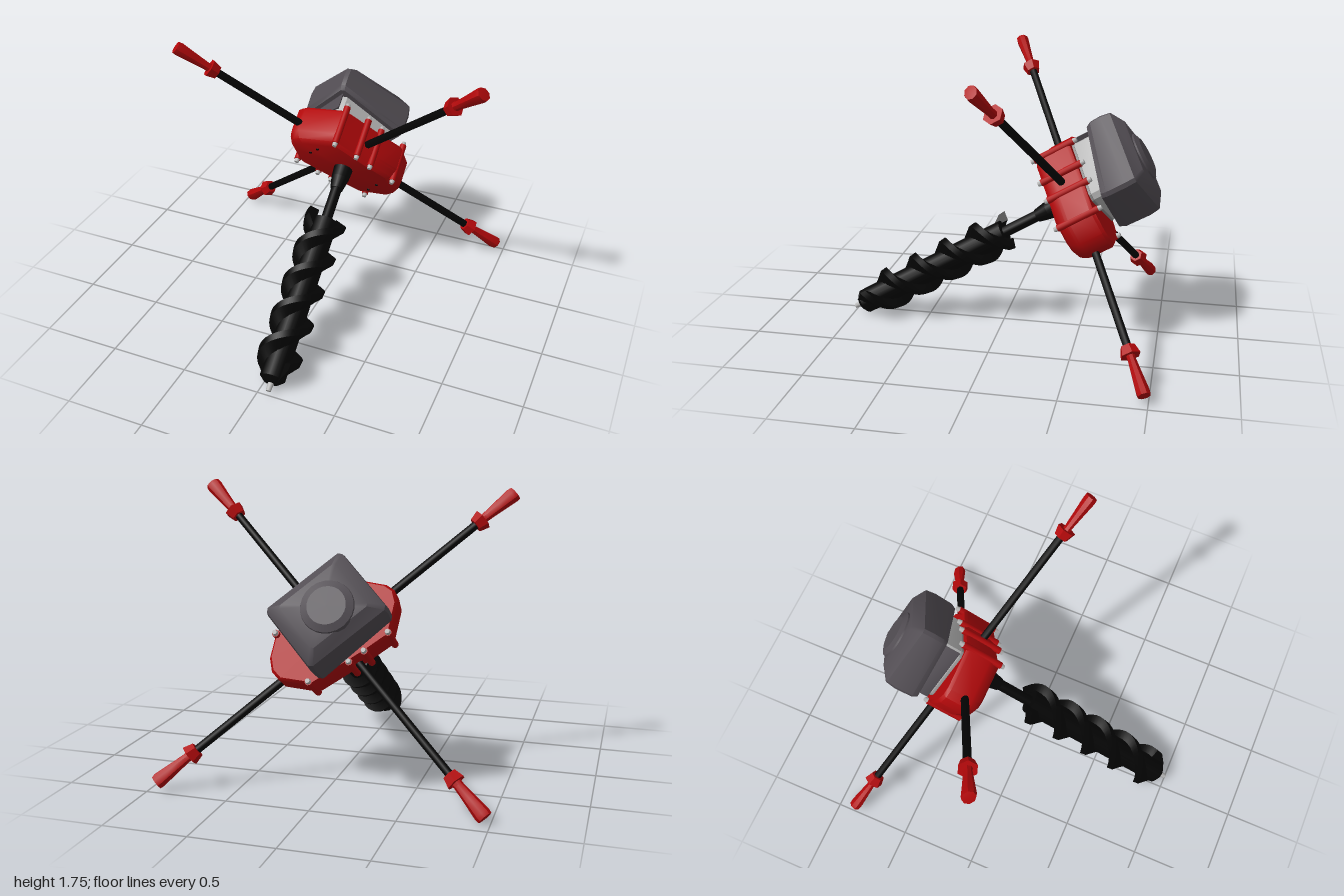
import * as THREE from 'three';
import { toCreasedNormals } from 'three/addons/utils/BufferGeometryUtils.js';

const mat = (name, color) => {
  const m = new THREE.MeshStandardMaterial({ color });
  m.name = name;
  return m;
};

// Skin between rings of points, closed by a fan at both ends
function loft(rings, crease = 0.6) {
  const n = rings[0].length, pos = [], idx = [];
  rings.forEach(r => r.forEach(p => pos.push(p.x, p.y, p.z)));
  for (let k = 0; k < rings.length - 1; k++) {
    for (let i = 0; i < n; i++) {
      const j = (i + 1) % n, a = k * n, b = a + n;
      idx.push(b + i, b + j, a + j, b + i, a + j, a + i);
    }
  }
  [0, rings.length - 1].forEach((k, end) => {
    const c = new THREE.Vector3();
    rings[k].forEach(p => c.addScaledVector(p, 1 / n));
    const ci = pos.length / 3;
    pos.push(c.x, c.y, c.z);
    for (let i = 0; i < n; i++) {
      const p = k * n + i, q = k * n + (i + 1) % n;
      idx.push(ci, end ? q : p, end ? p : q);
    }
  });
  const g = new THREE.BufferGeometry();
  g.setAttribute('position', new THREE.Float32BufferAttribute(pos, 3));
  g.setIndex(idx);
  return toCreasedNormals(g, crease);
}

export function createModel() {
  const red = mat('red', 0xb2080a);
  const black = mat('black', 0x040404);
  const darkGrey = mat('dark grey', 0x524d53);
  const midGrey = mat('mid grey', 0x8c8c8c);
  const lightGrey = mat('light grey', 0xb8b8b8);

  // Tilted frame: local +z runs down the drill, local +y up the gearbox
  const auger = new THREE.Group();
  auger.name = 'auger';
  const d = new THREE.Vector3(0.043, -0.5, 0.866).normalize();
  const u = new THREE.Vector3().crossVectors(new THREE.Vector3(0.012, 0.866, 0.5), d).normalize();
  const v = new THREE.Vector3().crossVectors(d, u);
  auger.quaternion.setFromRotationMatrix(new THREE.Matrix4().makeBasis(u, v, d));
  auger.position.set(0, 0.88, -0.457);

  const add = (name, geo, material, parent = auger) => {
    const m = new THREE.Mesh(geo, material);
    m.name = name;
    parent.add(m);
    return m;
  };
  // Cylinder along local z from z0 to z1
  const rod = (name, x, y, z0, z1, r0, r1, material, sides = 12) => {
    const g = new THREE.CylinderGeometry(r1, r0, z1 - z0, sides).rotateX(Math.PI / 2);
    return add(name, g.translate(x, y, (z0 + z1) / 2), material);
  };
  const plate = (points, z0, z1, bevel) => {
    const s = new THREE.Shape(points.map(p => new THREE.Vector2(...p)));
    const g = new THREE.ExtrudeGeometry(s, {
      depth: z1 - z0 - 2 * bevel, bevelThickness: bevel, bevelSize: bevel,
      bevelOffset: -bevel, bevelSegments: 2
    });
    return toCreasedNormals(g.translate(0, 0, z0 + bevel), 0.6);
  };

  // Gearbox housing, its front edge rounded over
  const housing = [
    [0, 0.335], [-0.28, 0.3], [-0.33, 0.27], [-0.355, 0.2], [-0.335, 0], [-0.2, -0.115],
    [0.08, -0.33], [0.28, -0.315], [0.33, -0.27], [0.355, -0.19], [0.34, -0.03], [0.2, 0.11]
  ];
  const housingRings = [[0.125, 0.84], [0.105, 0.93], [0.06, 0.99], [0.04, 1], [-0.105, 1], [-0.125, 0.96]];
  add('gearbox', loft(housingRings.map(([w, s]) =>
    housing.map(([x, y]) => new THREE.Vector3(x * s, y * s, w))), 0.7), red);
  [[-0.2, 0.15], [-0.14, 0.21], [0.14, -0.23], [0.21, -0.14]].forEach(([x, y]) =>
    rod('housingScrew', x, y, 0.1, 0.13, 0.01, 0.01, black, 8));

  // Bolt sleeves around the rim, with a bolt head at each end
  [[0, 0.32], [0.125, 0.2], [0.2, 0.1], [0.33, -0.05], [-0.325, 0.01],
    [-0.2, -0.11], [-0.12, -0.18], [0.1, -0.315]].forEach(([x, y], i) => {
    const back = i < 4 ? -0.155 : -0.125;
    rod('boltSleeve', x, y, back, 0.12, 0.022, 0.022, red, 10);
    rod('frontBolt', x, y, 0.12, 0.143, 0.018, 0.014, lightGrey, 8);
    rod('rearBolt', x, y, back - 0.023, back, 0.014, 0.018, lightGrey, 8);
  });

  // Engine: a rectangle turned on its corner, with clipped corners
  const outline = (scale, k = 0.035) => {
    const a = 0.27, b = 0.225;
    return [[a, -b + k], [a, b - k], [a - k, b], [-a + k, b], [-a, b - k], [-a, -b + k], [-a + k, -b], [a - k, -b]]
      .map(([p, q]) => [
        -0.025 + scale * (0.72 * p + 0.7 * q),
        0.03 + scale * (-0.7 * p + 0.71 * q)
      ]);
  };
  add('crankcase', plate(outline(0.8), -0.27, -0.1, 0.015), lightGrey);
  add('engineBase', plate(outline(0.82), -0.14, -0.11, 0.005), midGrey);
  add('sideShroud', plate([[-0.06, 0.32], [-0.32, 0.06], [-0.02, -0.26], [-0.1, 0.1]], -0.28, -0.15, 0.005), darkGrey);
  const covers = [[0.95, -0.2, 0.17], [1, -0.235, 0.15], [1.01, -0.36, 0], [0.98, -0.425, 0], [0.72, -0.48, 0]];
  add('engineCover', loft(covers.map(([s, w, lean]) =>
    outline(s, 0.02).map(([x, y]) => new THREE.Vector3(x, y, w - lean * y))), 0.7), darkGrey);

  // Round starter housing on the rear
  rod('starterHousing', -0.05, 0.025, -0.49, -0.44, 0.15, 0.165, darkGrey, 24);
  rod('starterCap', -0.05, 0.025, -0.508, -0.49, 0.11, 0.15, darkGrey, 24);

  // Four handles on the diagonals
  const gripProfile = [[0, 1.08], [0.036, 1.08], [0.029, 1.13], [0.038, 1.23], [0.048, 1.33], [0.045, 1.355], [0, 1.36]]
    .map(p => new THREE.Vector2(...p));
  for (let i = 0; i < 4; i++) {
    const handle = new THREE.Group();
    handle.name = 'handle';
    handle.rotation.z = Math.PI / 4 + i * Math.PI / 2;
    auger.add(handle);
    add('handleRod', new THREE.CylinderGeometry(0.025, 0.025, 1.0, 10).translate(0, 0.6, 0), black, handle);
    add('grip', toCreasedNormals(new THREE.LatheGeometry(gripProfile, 8).scale(1, 1, 0.85), 0.7), red, handle);
    add('gripCollar', toCreasedNormals(
      new THREE.CylinderGeometry(0.062, 0.045, 0.06, 6).translate(0, 1.08, 0), 0.4), red, handle);
  }

  // Drive shaft
  rod('shaftCollar', 0, 0, 0.11, 0.2, 0.065, 0.058, black, 14);
  rod('shaftCoupling', 0, 0, 0.2, 0.28, 0.058, 0.042, black, 14);
  rod('driveShaft', 0, 0, 0.27, 0.55, 0.036, 0.036, black, 12);

  // Drill core with two helical flights
  rod('drillCore', 0, 0, 0.52, 1.6, 0.08, 0.08, black, 16);
  const profile = [[0.07, -0.055], [0.14, -0.05], [0.134, -0.005], [0.07, 0.06]];
  for (let f = 0; f < 2; f++) {
    const rings = [];
    for (let k = 0; k <= 72; k++) {
      const t = 0.53 + (k / 72) * 1.03;
      const angle = Math.PI / 2 + f * Math.PI + (2 * Math.PI * (t - 1.395)) / 0.46;
      rings.push(profile.map(([r, z]) =>
        new THREE.Vector3(r * Math.cos(angle), r * Math.sin(angle), t + z)));
    }
    add('drillFlight', loft(rings), black);
  }
  rod('drillNose', 0, 0, 1.6, 1.63, 0.08, 0.045, black, 16);
  rod('drillTip', 0, 0, 1.6, 1.68, 0.02, 0.016, lightGrey, 10);

  const model = new THREE.Group();
  model.name = 'groundDrill';
  model.add(auger);
  return model;
}
